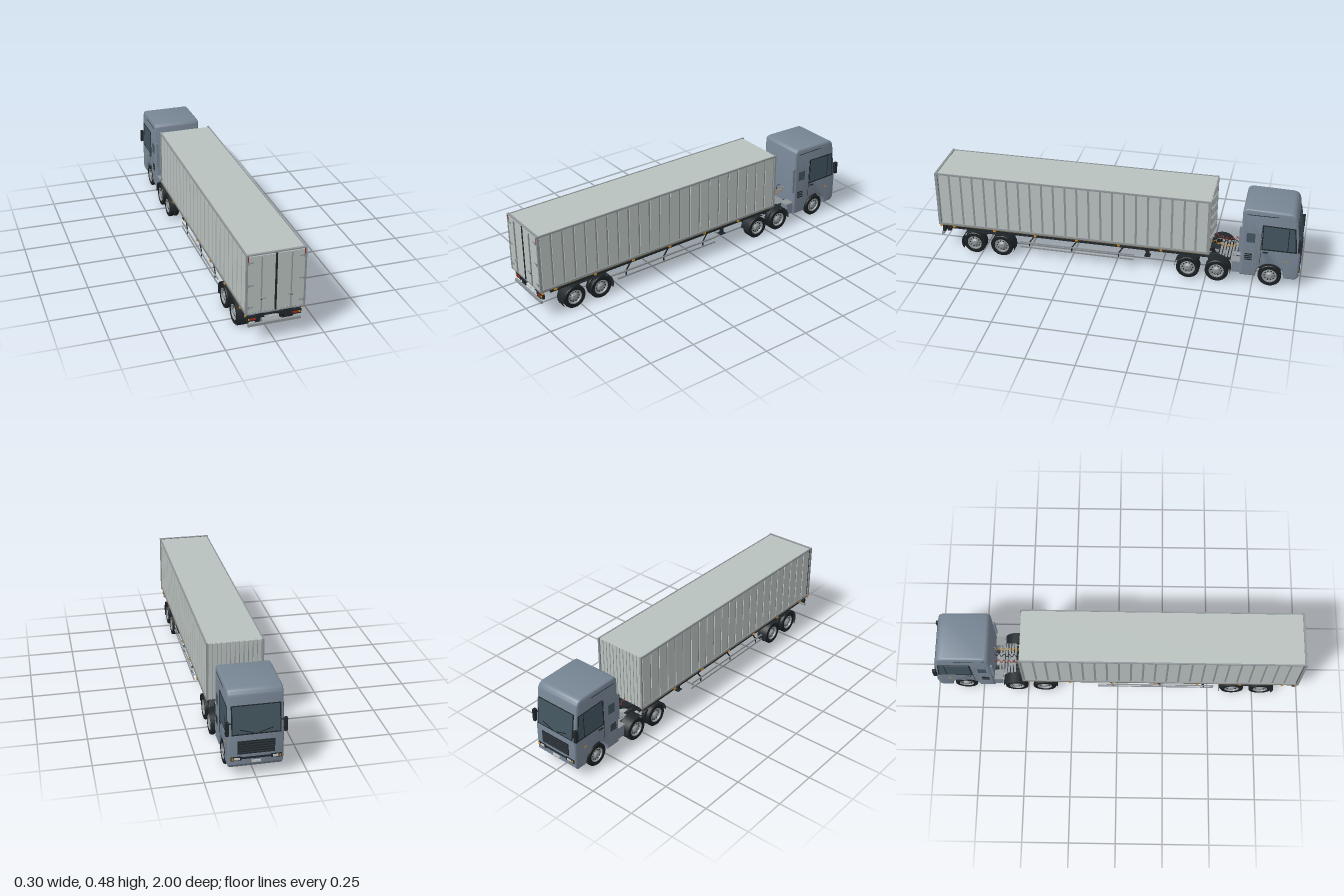
import * as THREE from 'three';
import { toCreasedNormals } from 'three/addons/utils/BufferGeometryUtils.js';

const mat = (color, side = THREE.FrontSide) => new THREE.MeshStandardMaterial({ color, side });
const M = {
  cab: mat(0x778594), wall: mat(0xb9c1bf), groove: mat(0x8b9290), steel: mat(0x8f9699), dark: mat(0x20272b),
  frame: mat(0x2c3338), rubber: mat(0x1b1f22), glass: mat(0x43555f), red: mat(0x9a2a22), amber: mat(0xd08a20),
  white: mat(0xdddddd), brown: mat(0x77664a), sheet: mat(0x20272b, THREE.DoubleSide), floor: mat(0x555a5c),
};
const SIDES = [-1, 1];

function add(parent, name, geo, material, x = 0, y = 0, z = 0) {
  const m = new THREE.Mesh(geo, material);
  m.name = name;
  m.position.set(x, y, z);
  parent.add(m);
  return m;
}
// box given by its centre
const box = (p, name, m, w, h, d, x, y, z) => add(p, name, new THREE.BoxGeometry(w, h, d), m, x, y, z);
// cylinder lying along x
const axleBar = (p, name, m, r, len, x, y, z, seg = 16) =>
  add(p, name, new THREE.CylinderGeometry(r, r, len, seg).rotateZ(Math.PI / 2), m, x, y, z);
// outline in the (z, y) plane, given a thickness along x
function sidePlate(p, name, m, pts, depth, x) {
  const shape = new THREE.Shape(pts.map(q => new THREE.Vector2(...q)));
  const g = new THREE.ExtrudeGeometry(shape, { depth, bevelEnabled: false });
  return add(p, name, g.translate(0, 0, -depth / 2).rotateY(-Math.PI / 2), m, x);
}
const lathe = (pts, seg, s) => toCreasedNormals(
  new THREE.LatheGeometry(pts.map(q => new THREE.Vector2(...q)), seg).rotateZ(-s * Math.PI / 2), 0.6);

// tyre and rim; s is the side the outer face looks to
function wheel(p, s, x, z, r, w, dish) {
  const g = new THREE.Group();
  g.name = 'wheel';
  g.position.set(s * x, r, z);
  p.add(g);
  const h = w / 2, ri = r * 0.62;
  add(g, 'tyre', lathe([[ri, -h * 0.8], [r * 0.8, -h], [r * 0.95, -h * 0.9], [r, -h * 0.6], [r, h * 0.6],
    [r * 0.95, h * 0.9], [r * 0.8, h], [ri, h * 0.8], [ri, -h * 0.8]], 36, s), M.rubber);
  add(g, 'rim', lathe([[0.001, -h * 0.7], [ri, -h * 0.8], [ri * 1.04, h * 0.85], [ri * 0.92, h * 0.9], [ri * 0.85, dish],
    [ri * 0.5, dish + 0.002], [ri * 0.42, dish + 0.008], [ri * 0.3, dish + 0.012], [0, dish + 0.012]], 32, s), M.steel);
  for (let i = 0; i < 10; i++) {
    const a = i * Math.PI / 5;
    axleBar(g, 'rimHole', M.dark, r * 0.06, 0.003, s * (dish + 0.002), Math.sin(a) * ri * 0.7, Math.cos(a) * ri * 0.7, 8);
  }
}
function dualAxle(p, z) {
  for (const s of SIDES) {
    wheel(p, s, 0.130, z, 0.063, 0.026, 0.001);
    wheel(p, s, 0.101, z, 0.063, 0.026, 0.001);
    box(p, 'leafSpring', M.dark, 0.016, 0.012, 0.11, s * 0.065, 0.088, z);
  }
  axleBar(p, 'axle', M.dark, 0.012, 0.2, 0, 0.063, z);
  add(p, 'differential', new THREE.SphereGeometry(0.026, 20, 14), M.dark, 0, 0.066, z);
}
// arc over a wheel: angle 0 points to +z, PI/2 points up
function fender(p, z, from, to) {
  for (const s of SIDES) add(p, 'fender',
    new THREE.CylinderGeometry(0.073, 0.073, 0.06, 16, 1, true, from, to - from).rotateZ(Math.PI / 2),
    M.sheet, s * 0.116, 0.063, z);
}

function buildTrailer() {
  const t = new THREE.Group();
  t.name = 'trailer';
  // cargo box
  box(t, 'boxCore', M.groove, 0.278, 0.306, 1.486, 0, 0.323, 0.232);
  box(t, 'roof', M.wall, 0.284, 0.004, 1.49, 0, 0.477, 0.232);
  box(t, 'boxFloor', M.floor, 0.286, 0.008, 1.49, 0, 0.168, 0.232);
  const n = 23, pitch = 1.48 / n;
  for (const s of SIDES) {
    for (let i = 0; i < n; i++)
      box(t, 'sidePanel', M.wall, 0.005, 0.3, pitch - 0.011, s * 0.1412, 0.323, -0.508 + pitch * (i + 0.5));
    box(t, 'topRail', M.steel, 0.007, 0.009, 1.5, s * 0.1435, 0.4765, 0.233);
    box(t, 'bottomRail', M.steel, 0.007, 0.01, 1.5, s * 0.1435, 0.17, 0.233);
    box(t, 'lowerTrim', M.brown, 0.008, 0.004, 1.5, s * 0.1437, 0.163, 0.233);
    box(t, 'frontPost', M.steel, 0.01, 0.316, 0.01, s * 0.142, 0.324, -0.515);
    box(t, 'rearPost', M.steel, 0.009, 0.32, 0.014, s * 0.1445, 0.323, 0.98);
    for (let i = 0; i < 6; i++) box(t, 'sideMarker', M.amber, 0.008, 0.008, 0.014, s * 0.146, 0.156, 0.9 - i * 0.232);
  }
  for (let i = 0; i < 12; i++) box(t, 'frontPanel', M.wall, 0.018, 0.31, 0.005, -0.125 + i * 0.0227, 0.323, -0.5135);
  // rear doors
  box(t, 'doorFrame', M.dark, 0.288, 0.312, 0.006, 0, 0.323, 0.976);
  box(t, 'doorHeader', M.steel, 0.29, 0.006, 0.012, 0, 0.48, 0.98);
  box(t, 'doorSill', M.steel, 0.29, 0.005, 0.012, 0, 0.166, 0.98);
  box(t, 'doorSeal', M.dark, 0.009, 0.304, 0.01, 0, 0.323, 0.982);
  for (const s of SIDES) {
    box(t, 'door', M.wall, 0.134, 0.3, 0.008, s * 0.0725, 0.323, 0.981);
    box(t, 'lockRod', M.steel, 0.005, 0.298, 0.006, s * 0.074, 0.322, 0.99);
    box(t, 'lockHandle', M.steel, 0.024, 0.005, 0.006, s * 0.067, 0.252, 0.996);
    box(t, 'handleCatch', M.dark, 0.008, 0.006, 0.006, s * 0.074, 0.247, 0.994);
    box(t, 'cornerLamp', M.red, 0.004, 0.028, 0.006, s * 0.139, 0.461, 0.985);
    for (const y of [0.205, 0.323, 0.443]) {
      box(t, 'hingeStrap', M.steel, 0.026, 0.006, 0.005, s * 0.127, y, 0.987);
      box(t, 'hingeKnuckle', M.steel, 0.007, 0.014, 0.007, s * 0.136, y, 0.988);
    }
  }
  // ladder frame
  for (const s of SIDES) {
    box(t, 'frameRail', M.dark, 0.012, 0.03, 1.46, s * 0.058, 0.14, 0.235);
    box(t, 'railFlange', M.dark, 0.024, 0.004, 1.46, s * 0.058, 0.127, 0.235);
    box(t, 'sideBeam', M.dark, 0.006, 0.02, 1.42, s * 0.132, 0.148, 0.215);
  }
  for (let i = 0; i < 14; i++) box(t, 'crossMember', M.frame, 0.264, 0.012, 0.014, 0, 0.158, -0.46 + i * 0.108);
  for (let i = 0; i < 13; i++) box(t, 'innerCross', M.dark, 0.11, 0.022, 0.014, 0, 0.14, -0.4 + i * 0.108);
  // bogie
  for (const z of [0.79, 0.633]) dualAxle(t, z);
  fender(t, 0.79, -0.55, Math.PI / 2);
  fender(t, 0.633, Math.PI / 2, Math.PI + 0.35);
  for (const s of SIDES) {
    box(t, 'fenderBridge', M.dark, 0.06, 0.003, 0.157, s * 0.116, 0.136, 0.7115);
    // side guards
    for (const y of [0.071, 0.1]) box(t, 'guardRail', M.steel, 0.005, 0.008, 0.64, s * 0.136, y, 0.21);
    for (const z of [0.46, 0.22, -0.04]) {
      const strut = box(t, 'guardStrut', M.dark, 0.005, 0.055, 0.006, s * 0.132, 0.121, z);
      strut.rotation.x = -0.6;
      box(t, 'guardPost', M.dark, 0.004, 0.036, 0.006, s * 0.133, 0.086, z + 0.015);
    }
    // landing legs
    box(t, 'landingLeg', M.dark, 0.014, 0.07, 0.016, s * 0.1, 0.122, -0.18);
    box(t, 'landingFoot', M.dark, 0.03, 0.005, 0.032, s * 0.1, 0.086, -0.18);
    const brace = box(t, 'legBrace', M.dark, 0.006, 0.055, 0.006, s * 0.1, 0.13, -0.155);
    brace.rotation.x = 0.7;
    // tail lamps and bumper brackets
    box(t, 'bumperBracket', M.dark, 0.022, 0.065, 0.02, s * 0.076, 0.121, 0.955);
    box(t, 'lampPanel', M.dark, 0.05, 0.025, 0.012, s * 0.113, 0.128, 0.965);
    box(t, 'tailLamp', M.red, 0.027, 0.01, 0.006, s * 0.106, 0.128, 0.972);
    box(t, 'turnLamp', M.amber, 0.007, 0.01, 0.006, s * 0.128, 0.128, 0.972);
    box(t, 'cornerMarker', M.amber, 0.006, 0.007, 0.01, s * 0.147, 0.155, 0.975);
    box(t, 'markerStem', M.dark, 0.004, 0.05, 0.006, s * 0.132, 0.14, 0.968);
  }
  axleBar(t, 'legCrossbar', M.dark, 0.004, 0.2, 0, 0.12, -0.18);
  box(t, 'lampBar', M.dark, 0.26, 0.006, 0.01, 0, 0.139, 0.962);
  box(t, 'plate', M.white, 0.046, 0.012, 0.004, 0, 0.127, 0.972);
  box(t, 'rearBumper', M.steel, 0.268, 0.014, 0.012, 0, 0.099, 0.975);
  return t;
}

function buildTractor() {
  const t = new THREE.Group();
  t.name = 'tractor';
  // cab shell: side outline with wheel arch
  const s0 = new THREE.Shape();
  s0.moveTo(-0.68, 0.052);
  s0.lineTo(-0.68, 0.43);
  s0.quadraticCurveTo(-0.682, 0.455, -0.71, 0.457);
  s0.lineTo(-0.92, 0.452);
  s0.quadraticCurveTo(-0.955, 0.45, -0.962, 0.415);
  s0.lineTo(-0.991, 0.215);
  s0.lineTo(-0.991, 0.075);
  s0.lineTo(-0.975, 0.055);
  s0.lineTo(-0.913, 0.055);
  s0.absarc(-0.84, 0.062, 0.073, Math.PI, 0, true);
  s0.lineTo(-0.765, 0.052);
  const b = 0.012;
  const shell = new THREE.ExtrudeGeometry(s0, { depth: 0.268 - 2 * b, bevelSize: b, bevelThickness: b, bevelOffset: -b,
    bevelSegments: 4, curveSegments: 16 });
  shell.translate(0, 0, -0.134 + b).rotateY(-Math.PI / 2);
  add(t, 'cabShell', toCreasedNormals(shell, 0.6), M.cab);
  box(t, 'engineBay', M.dark, 0.17, 0.08, 0.22, 0, 0.115, -0.84);
  for (const s of SIDES) {
    const x = s * 0.134;
    // door, windows and vents
    sidePlate(t, 'windowFrame', M.dark, [[-0.788, 0.222], [-0.788, 0.372], [-0.958, 0.368], [-0.974, 0.222]], 0.003, x);
    sidePlate(t, 'sideWindow', M.glass, [[-0.794, 0.23], [-0.794, 0.366], [-0.952, 0.362], [-0.966, 0.23]], 0.005, x);
    box(t, 'windowDivider', M.dark, 0.006, 0.134, 0.004, x, 0.297, -0.925);
    box(t, 'doorSeam', M.dark, 0.002, 0.235, 0.002, x, 0.25, -0.785);
    box(t, 'doorHandle', M.dark, 0.006, 0.007, 0.03, x, 0.208, -0.81);
    box(t, 'sideLamp', M.amber, 0.004, 0.006, 0.014, x, 0.165, -0.92);
    box(t, 'roofSeam', M.dark, 0.002, 0.003, 0.16, x, 0.425, -0.785);
    box(t, 'sleeperPanel', M.glass, 0.003, 0.055, 0.045, x, 0.288, -0.73);
    for (let i = 0; i < 4; i++) box(t, 'ventSlat', M.dark, 0.004, 0.006, 0.04, x, 0.155 + i * 0.011, -0.722);
    box(t, 'airDeflector', M.cab, 0.012, 0.15, 0.014, s * 0.124, 0.265, -0.676);
    // mirrors
    box(t, 'mirror', M.dark, 0.016, 0.068, 0.018, s * 0.14, 0.268, -0.986);
    for (const y of [0.245, 0.292]) box(t, 'mirrorArm', M.dark, 0.03, 0.005, 0.006, s * 0.128, y, -0.98);
    // lamps in the nose
    box(t, 'headlampHousing', M.dark, 0.052, 0.02, 0.008, s * 0.097, 0.108, -0.991);
    box(t, 'headlamp', M.white, 0.026, 0.012, 0.008, s * 0.093, 0.108, -0.993);
    box(t, 'indicator', M.amber, 0.009, 0.012, 0.008, s * 0.115, 0.108, -0.993);
    wheel(t, s, 0.117, -0.84, 0.062, 0.028, 0.004);
    // wipers
    const wiper = box(t, 'wiper', M.dark, 0.07, 0.003, 0.004, s * 0.045, 0.25, -0.992);
    wiper.rotation.z = s * 0.3;
  }
  axleBar(t, 'steerAxle', M.dark, 0.012, 0.21, 0, 0.06, -0.84);
  const tilted = (name, m, w, h, d, y) => {
    box(t, name, m, w, h, d, 0, y, -0.991 + (y - 0.215) * 0.145).rotation.x = 0.144;
  };
  tilted('windscreenFrame', M.dark, 0.238, 0.148, 0.004, 0.304);
  tilted('windscreen', M.glass, 0.226, 0.136, 0.008, 0.305);
  // grille and bumper
  box(t, 'grille', M.dark, 0.18, 0.07, 0.006, 0, 0.165, -0.99);
  for (let i = 0; i < 5; i++) box(t, 'grilleSlat', M.frame, 0.174, 0.005, 0.008, 0, 0.139 + i * 0.013, -0.993);
  box(t, 'bumperBand', M.dark, 0.15, 0.01, 0.006, 0, 0.108, -0.99);
  box(t, 'frontPlate', M.white, 0.046, 0.012, 0.004, 0, 0.088, -0.993);
  // chassis, deck and coupling
  for (const s of SIDES) {
    box(t, 'chassisRail', M.frame, 0.012, 0.028, 0.6, s * 0.048, 0.1, -0.62);
    box(t, 'sideTank', M.cab, 0.05, 0.06, 0.05, s * 0.1, 0.092, -0.662);
    box(t, 'tankStep', M.steel, 0.052, 0.006, 0.05, s * 0.1, 0.126, -0.655);
  }
  for (const z of [-0.33, -0.48, -0.62, -0.72]) box(t, 'chassisCross', M.frame, 0.1, 0.02, 0.02, 0, 0.1, z);
  for (let i = 0; i < 6; i++) box(t, 'deckSlat', M.steel, 0.17, 0.005, 0.011, 0, 0.125, -0.65 + i * 0.016);
  add(t, 'fifthWheel', new THREE.CylinderGeometry(0.05, 0.05, 0.012, 24), M.dark, 0, 0.124, -0.48);
  for (const z of [-0.405, -0.56]) dualAxle(t, z);
  fender(t, -0.405, 0, Math.PI * 0.72);
  fender(t, -0.56, Math.PI * 0.28, Math.PI + 0.1);
  // air and power lines
  [[-0.035, M.red], [0, M.dark], [0.035, M.amber]].forEach(([x, m]) => {
    const pts = [];
    for (let i = 0; i <= 48; i++) {
      const a = i * Math.PI / 4, k = i / 48;
      pts.push(new THREE.Vector3(x + 0.007 * Math.cos(a), 0.19 - 0.1 * k * (1 - k) + 0.007 * Math.sin(a), -0.685 + 0.165 * k));
    }
    add(t, 'airLine', new THREE.TubeGeometry(new THREE.CatmullRomCurve3(pts), 120, 0.002, 5), m);
  });
  return t;
}

export function createModel() {
  const g = new THREE.Group();
  g.name = 'articulatedTruck';
  g.add(buildTrailer(), buildTractor());
  return g;
}
